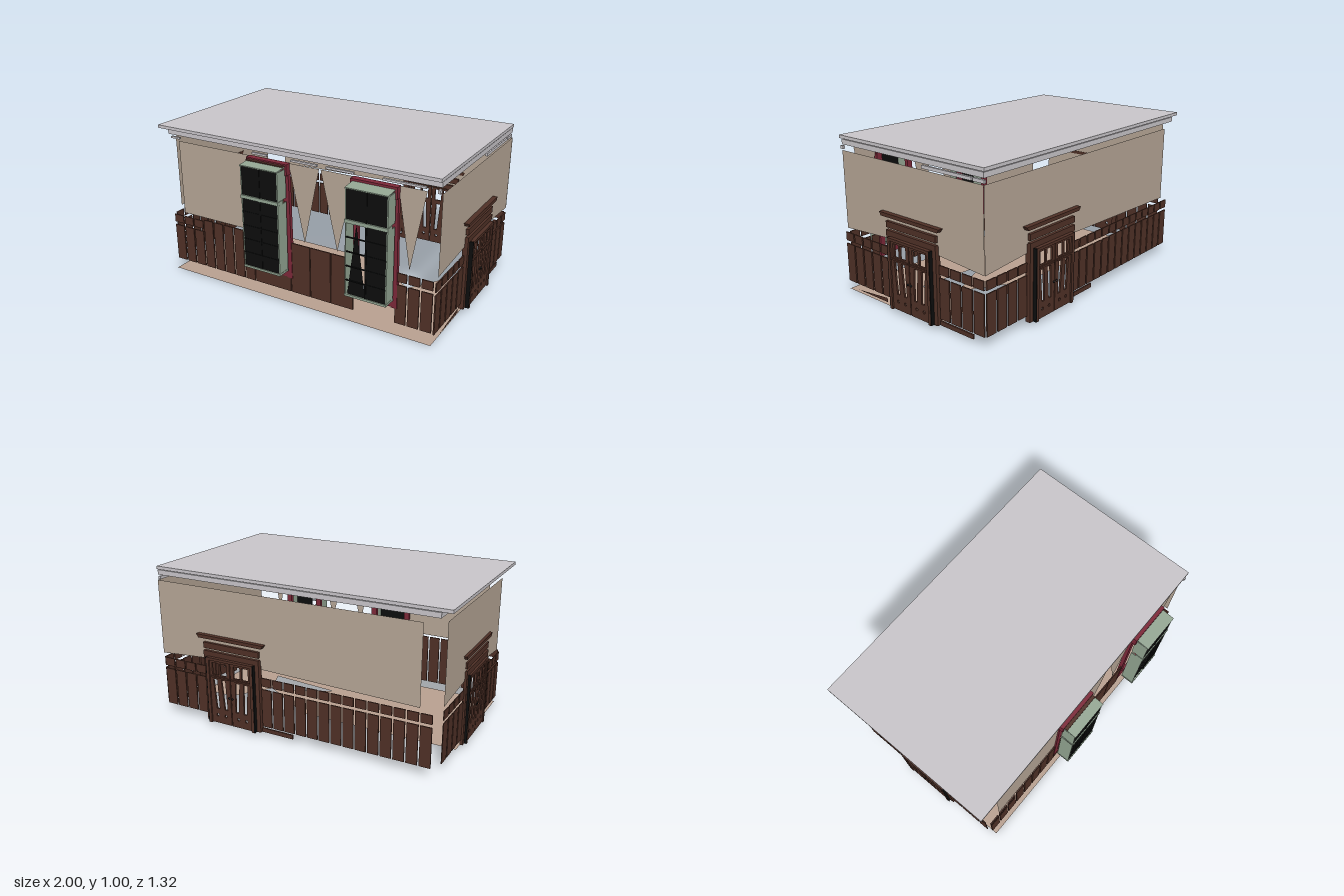
import * as THREE from 'three';

const mat = (name, color, side = THREE.DoubleSide) => {
  const m = new THREE.MeshStandardMaterial({ color, side });
  m.name = name;
  return m;
};

export function createModel() {
  const plaster = mat('plaster', 0xb5a595);
  const floorTan = mat('floor tan', 0xb8a090);
  const ceilingGrey = mat('ceiling grey', 0xc8c5c9);
  const wood = mat('dark wood', 0x4f3026);
  const black = mat('black', 0x0c0d0d);
  const green = mat('window green', 0x93a592);
  const red = mat('curtain red', 0x7c2838);
  const white = mat('lamp white', 0xe2e2e2);

  const room = new THREE.Group();
  room.name = 'room';

  const add = (parent, name, geo, m, x = 0, y = 0, z = 0) => {
    const mesh = new THREE.Mesh(geo, m);
    mesh.name = name;
    mesh.position.set(x, y, z);
    parent.add(mesh);
    return mesh;
  };
  // Box given by its limits on each axis
  const box = (parent, name, m, x0, x1, y0, y1, z0, z1) =>
    add(parent, name, new THREE.BoxGeometry(x1 - x0, y1 - y0, z1 - z0), m,
      (x0 + x1) / 2, (y0 + y1) / 2, (z0 + z1) / 2);
  const outline = (pts) => new THREE.Shape(pts.map(([x, y]) => new THREE.Vector2(x, y)));
  const sheet = (parent, name, m, pts, z = 0) =>
    add(parent, name, new THREE.ShapeGeometry(outline(pts)), m, 0, 0, z);
  const rect = (x0, x1, y0, y1) => [[x0, y0], [x1, y0], [x1, y1], [x0, y1]];

  // Wainscot: a row of slats with short blocks above a gap
  function wainscot(parent, u0, u1, z, split = true) {
    const n = Math.max(1, Math.round((u1 - u0) / 0.082));
    const pitch = (u1 - u0) / n;
    for (let i = 0; i < n; i++) {
      const a = u0 + i * pitch + 0.005, b = u0 + (i + 1) * pitch - 0.006;
      box(parent, 'wainscotSlat', wood, a, b, 0.065, split ? 0.315 : 0.4, z - 0.006, z + 0.002);
      if (split) box(parent, 'wainscotBlock', wood, a, b, 0.335, 0.39, z - 0.006, z + 0.002);
    }
  }

  // Double door with glazed openings, casing and stepped cornice
  function door() {
    const g = new THREE.Group();
    g.name = 'door';
    for (const s of [-1, 1]) {
      const post = box(g, 'doorCasing', wood, -0.0175, 0.0175, 0.025, 0.505, -0.015, 0.018);
      post.position.x = s * 0.187;
      const reveal = box(g, 'doorReveal', black, -0.003, 0.003, 0.025, 0.47, 0.018, 0.042);
      reveal.position.x = s * 0.174;
      const jamb = box(g, 'doorJamb', wood, -0.009, 0.009, 0.025, 0.47, 0.01, 0.043);
      jamb.position.x = s * 0.162;

      // Leaf with two upper panes and narrow slots below
      const leaf = outline(rect(0.003, 0.153, 0.03, 0.46));
      for (const x of [0.027, 0.088]) {
        leaf.holes.push(new THREE.Path(rect(x, x + 0.047, 0.36, 0.44).map((p) => new THREE.Vector2(...p))));
        leaf.holes.push(new THREE.Path([[x + 0.004, 0.13], [x + 0.026, 0.13], [x + 0.042, 0.33], [x + 0.012, 0.33]]
          .map((p) => new THREE.Vector2(...p))));
        const eye = new THREE.Path();
        eye.absarc(x + 0.022, 0.085, 0.01, 0, Math.PI * 2);
        leaf.holes.push(eye);
      }
      const mesh = add(g, 'doorLeaf', new THREE.ExtrudeGeometry(leaf, { depth: 0.012, bevelEnabled: false, curveSegments: 4 }), wood, 0, 0, 0.022);
      if (s < 0) { mesh.rotation.y = Math.PI; mesh.position.z = 0.034; }
      box(g, 'doorRail', wood, s > 0 ? 0.01 : -0.15, s > 0 ? 0.15 : -0.01, 0.342, 0.352, 0.03, 0.042);
      add(g, 'doorKnob', new THREE.SphereGeometry(0.007, 8, 6), black, s * 0.012, 0.22, 0.038);
    }
    box(g, 'doorHead', wood, -0.205, 0.205, 0.472, 0.505, -0.015, 0.02);
    box(g, 'doorLintel', wood, -0.17, 0.17, 0.455, 0.472, 0.01, 0.043);
    box(g, 'doorFrieze', wood, -0.205, 0.205, 0.52, 0.558, -0.012, 0.018);
    // Cornice flares out towards its top
    const cornice = outline([[-0.232, 0.588], [0.232, 0.588], [0.247, 0.61], [-0.247, 0.61]]);
    add(g, 'doorCornice', new THREE.ExtrudeGeometry(cornice, { depth: 0.035, bevelEnabled: false }), wood, 0, 0, -0.005);
    return g;
  }

  // Wall with a doorway: upper plaster, door and wainscot to both sides
  function doorWall(name, u0, u1, w0, w1, c) {
    const g = new THREE.Group();
    g.name = name;
    sheet(g, 'upperWall', plaster, [[u0, 0.42], [c - 0.21, 0.445], [c - 0.21, 0.5], [c + 0.21, 0.5],
      [c + 0.21, 0.445], [u1, 0.42], [u1, 0.91], [u0, 0.91]]);
    wainscot(g, w0, c - 0.205, 0);
    wainscot(g, c + 0.205, w1, 0);
    const d = door();
    d.position.x = c;
    g.add(d);
    room.add(g);
    return g;
  }
  const right = doorWall('rightWall', -0.535, 0.61, -0.56, 0.61, 0.06);
  right.rotation.y = Math.PI / 2;
  right.position.x = 0.955;
  box(right, 'baseboard', wood, 0.265, 0.52, 0.025, 0.052, -0.01, 0);
  sheet(right, 'baseboard', wood, [[-0.47, 0.025], [-0.19, 0.025], [-0.19, 0.052]]);
  const left = doorWall('leftWall', -0.54, 0.46, -0.54, 0.52, 0.01);
  left.rotation.y = -Math.PI / 2;
  left.position.x = -0.95;
  left.scale.z = 0.6;
  const back = doorWall('backWall', -0.955, 0.84, -0.95, 0.92, -0.405);
  back.rotation.y = Math.PI;
  back.position.z = -0.613;
  box(back, 'baseboard', wood, -0.2, 0.02, 0.025, 0.052, -0.01, 0);

  // Front wall: solid part on one side, pointed hangings by the windows
  const front = new THREE.Group();
  front.name = 'frontWall';
  front.position.z = 0.54;
  room.add(front);
  sheet(front, 'upperWall', plaster, rect(-0.85, -0.28, 0.415, 0.91));
  for (const [a, tip, b] of [[-0.01, 0.095, 0.2], [0.21, 0.32, 0.43], [0.7, 0.785, 0.87]])
    sheet(front, 'wallPoint', plaster, [[a, 0.91], [tip, 0.42], [b, 0.91]]);
  wainscot(front, -0.94, -0.69, 0.005);
  wainscot(front, -0.69, -0.28, 0.005, false);
  wainscot(front, 0.7, 0.94, 0.005);
  for (const [a, b] of [[-0.28, -0.15], [-0.15, -0.01], [-0.005, 0.13], [0.135, 0.275], [0.28, 0.43]])
    box(front, 'wainscotPanel', wood, a, b, 0.065, 0.4, -0.002, 0.006);

  // Projecting windows framed with curtains
  for (const [x0, open] of [[-0.28, false], [0.435, true]]) {
    const g = new THREE.Group();
    g.name = 'window';
    g.position.x = x0;
    room.add(g);
    const w = 0.265;
    for (const x of [0, w - 0.006])
      for (const [y0, y1] of [[0.232, 0.675], [0.7, 0.88]])
        box(g, 'windowSide', green, x, x + 0.006, y0, y1, 0.565, 0.652);
    box(g, 'windowSill', green, -0.002, w + 0.002, 0.218, 0.232, 0.565, 0.656);
    box(g, 'windowTransom', green, -0.002, w + 0.002, 0.677, 0.698, 0.6, 0.656);
    const cap = box(g, 'windowCap', green, 0, w, 0.885, 0.892, 0.565, 0.657);
    cap.rotation.x = 0.12;
    if (!open) box(g, 'windowCapTrim', wood, 0, w, 0.896, 0.902, 0.56, 0.595);

    // Dark panes
    box(g, 'upperPane', black, 0.004, w - 0.004, 0.7, 0.88, 0.645, 0.65);
    if (open) {
      box(g, 'lowerPane', black, 0.135, w - 0.004, 0.232, 0.677, 0.645, 0.65);
      sheet(g, 'lowerPane', black, [[0.015, 0.232], [0.13, 0.232], [0.07, 0.677]], 0.647);
    } else box(g, 'lowerPane', black, 0.004, w - 0.004, 0.232, 0.677, 0.645, 0.65);
    // Glazing bars
    box(g, 'glazingBar', black, 0.128, 0.137, 0.232, 0.88, 0.645, 0.653);
    for (let i = 1; i < 5; i++)
      box(g, 'glazingBar', black, 0.004, w - 0.004, 0.228 + i * 0.09, 0.234 + i * 0.09, 0.645, 0.653);

    // Curtains and valance
    for (const s of [-1, 1]) {
      const c = add(g, 'curtain', new THREE.ExtrudeGeometry(
        outline([[0.1, 0.85], [0.14, 0.85], [0.152, 0.16], [0.115, 0.16]]),
        { depth: 0.025, bevelEnabled: false }), red, w / 2, 0, 0.525);
      if (s < 0) { c.rotation.y = Math.PI; c.position.z = 0.55; }
    }
    box(g, 'valance', red, -0.012, w + 0.012, 0.84, 0.91, 0.532, 0.574);
    box(g, 'curtainHem', red, -0.01, w + 0.01, 0.165, 0.215, 0.535, 0.55);
  }

  // Floor sheet with a ragged gap at its back edge
  const floor = sheet(room, 'floor', floorTan, [[-0.93, -0.57], [0.945, -0.57], [0.945, 0.22], [0.72, 0.22],
    [0.55, -0.03], [0.63, -0.24], [0.135, -0.19], [0.53, -0.02], [0.13, 0.22], [-0.93, 0.22]]);
  floor.rotation.x = -Math.PI / 2;

  // Ceiling slab, moulding frame and broken lower moulding
  box(room, 'ceiling', ceilingGrey, -1, 0.955, 0.98, 1, -0.615, 0.56);
  box(room, 'frontMoulding', ceilingGrey, -0.935, 0.95, 0.945, 0.976, 0.5, 0.54);
  box(room, 'backMoulding', ceilingGrey, -0.935, 0.95, 0.945, 0.976, -0.612, -0.57);
  box(room, 'leftMoulding', ceilingGrey, -0.935, -0.9, 0.945, 0.976, -0.61, 0.54);
  box(room, 'rightMoulding', ceilingGrey, 0.915, 0.952, 0.945, 0.976, -0.61, 0.54);
  for (const [a, b] of [[-0.52, -0.15], [-0.61, -0.53], [0.535, 0.56]])
    box(room, 'lowerMoulding', ceilingGrey, 0.935, 0.95, 0.915, 0.934, a, b);
  for (const [a, b] of [[-0.92, -0.85], [-0.28, -0.17], [0, 0.18], [0.24, 0.42], [0.6, 0.86]])
    box(room, 'lowerMoulding', ceilingGrey, a, b, 0.918, 0.93, 0.52, 0.535);

  // Wall lamps inside the front wall
  for (const x of [-0.75, -0.52]) {
    add(room, 'lampGlobe', new THREE.SphereGeometry(0.025, 12, 8), white, x, 0.79, 0.5);
    add(room, 'lampNeck', new THREE.CylinderGeometry(0.012, 0.018, 0.035, 10), white, x, 0.825, 0.5);
  }
  return room;
}
